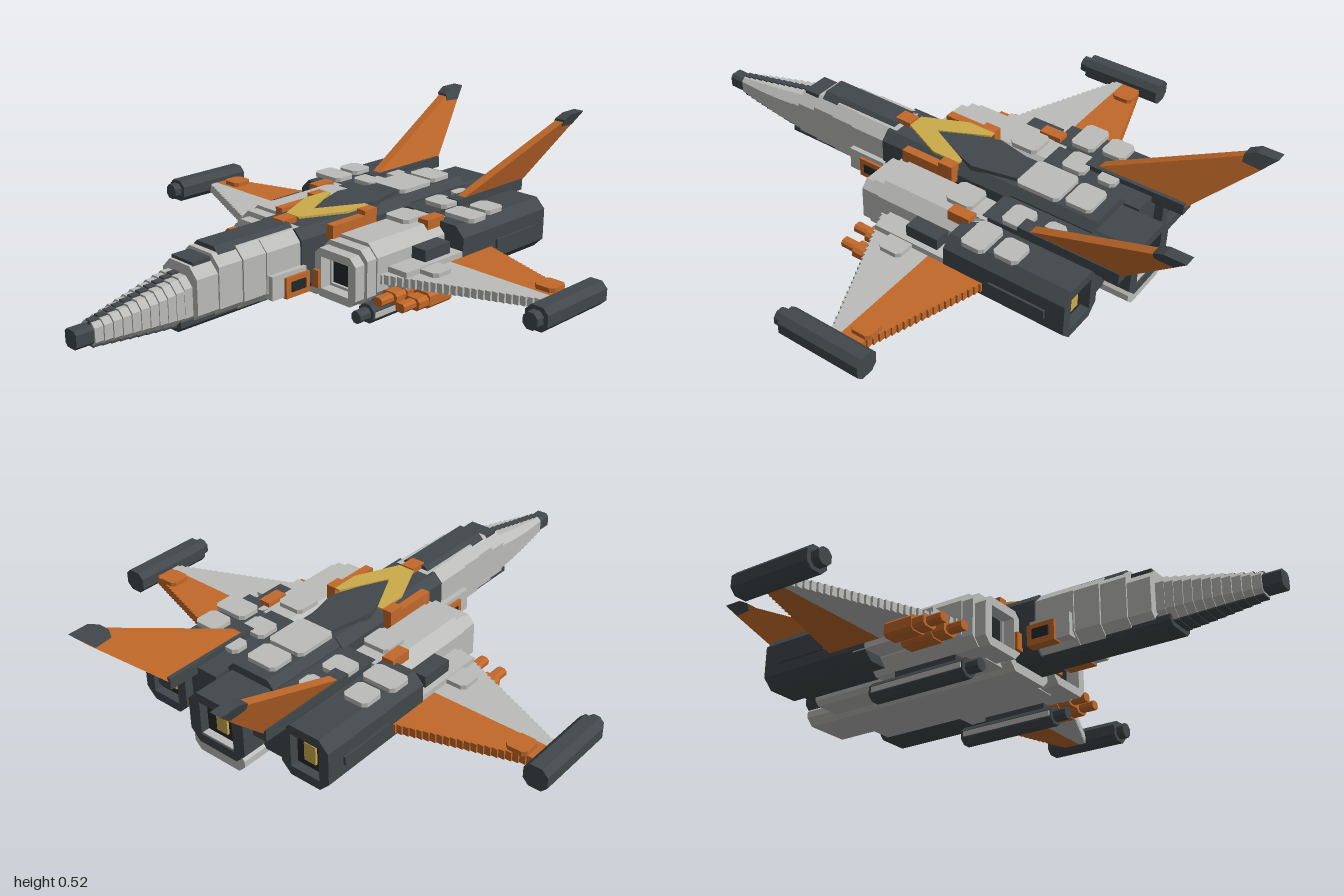
import * as THREE from 'three';
import { mergeGeometries } from 'three/addons/utils/BufferGeometryUtils.js';

const mat = (name, color) => {
  const m = new THREE.MeshStandardMaterial({ color });
  m.name = name;
  return m;
};
const lerp = THREE.MathUtils.lerp;

export function createModel() {
  const light = mat('light grey', 0xbcbcba), dark = mat('charcoal', 0x41474b), black = mat('black', 0x24272a);
  const orange = mat('orange', 0xc2692a), yellow = mat('yellow', 0xcbac4a);
  const model = new THREE.Group();
  model.name = 'starfighter';

  const add = (name, geo, m) => {
    const mesh = new THREE.Mesh(geo, m);
    mesh.name = name;
    model.add(mesh);
    return mesh;
  };
  // every box is given by its limits on x, y and z
  const box = (x0, x1, y0, y1, z0, z1) =>
    new THREE.BoxGeometry(Math.abs(x1 - x0), y1 - y0, z1 - z0).translate((x0 + x1) / 2, (y0 + y1) / 2, (z0 + z1) / 2);
  const octagon = (w, h, c) => new THREE.Shape([
    [-w + c, -h], [w - c, -h], [w, -h + c], [w, h - c], [w - c, h], [-w + c, h], [-w, h - c], [-w, -h + c],
  ].map(p => new THREE.Vector2(...p)));
  // chamfered bar along z, with an optional rectangular opening
  const bar = (x0, x1, y0, y1, z0, z1, c, hole) => {
    const w = Math.abs(x1 - x0) / 2, h = (y1 - y0) / 2, s = octagon(w, h, c);
    if (hole) {
      const [a, b] = hole;
      s.holes.push(new THREE.Path([[-a, -b], [-a, b], [a, b], [a, -b]].map(p => new THREE.Vector2(...p))));
    }
    return new THREE.ExtrudeGeometry(s, { depth: z1 - z0, bevelEnabled: false })
      .translate((x0 + x1) / 2, (y0 + y1) / 2, z0);
  };
  // thin plate with cut corners, lying flat
  const pad = (x, z, w, d, y0, y1) =>
    new THREE.ExtrudeGeometry(octagon(w / 2, d / 2, 0.013), { depth: y1 - y0, bevelEnabled: false })
      .rotateX(-Math.PI / 2).translate(x, y0, z);
  const poly = pts => new THREE.Shape(pts.map(p => new THREE.Vector2(...p)));

  // stepped nose with dark stripe and keel
  const shell = [], stripe = [], keel = [];
  const n = 11;
  for (let i = 0; i < n; i++) {
    const t = i / (n - 1), z0 = lerp(0.62, 0.94, i / n), z1 = lerp(0.62, 0.94, (i + 1) / n);
    const w = lerp(0.072, 0.032, t ** 1.4), top = lerp(0.262, 0.2, t), low = lerp(0.112, 0.13, t);
    shell.push(bar(-w, w, low, top, z0, z1, w * 0.4));
    stripe.push(box(-0.012, 0.012, top - 0.02, top + 0.005, z0, z1));
    keel.push(box(-w * 0.6, w * 0.6, low - 0.006, low + 0.01, z0, z1));
  }
  add('noseShell', mergeGeometries(shell), light);
  add('noseStripe', mergeGeometries(stripe), dark);
  add('noseKeel', mergeGeometries(keel), dark);
  add('noseTip', bar(-0.028, 0.028, 0.135, 0.192, 0.935, 1, 0.01), dark);

  // forward fuselage
  const fore = [];
  [[0.61, 0.53, 0.082, 0.29], [0.53, 0.44, 0.088, 0.31], [0.44, 0.35, 0.095, 0.312], [0.35, 0.18, 0.1, 0.312]]
    .forEach(([z1, z0, w, top]) => fore.push(bar(-w, w, 0.105, top, z0, z1, 0.035)));
  add('foreFuselage', mergeGeometries(fore), light);
  add('canopyFront', box(-0.05, 0.05, 0.26, 0.3, 0.51, 0.6), dark);
  add('canopy', bar(-0.06, 0.06, 0.24, 0.325, 0.2, 0.51, 0.02), dark);
  add('foreKeel', bar(-0.062, 0.062, 0.093, 0.14, 0.2, 0.66, 0.015), dark);

  // central spine and belly
  add('spine', bar(-0.105, 0.105, 0.1, 0.312, -0.3, 0.21, 0.03), dark);
  add('spineRidge', new THREE.ExtrudeGeometry(
    poly([[-0.05, 0.3], [0.05, 0.3], [0.085, 0.14], [0.02, -0.05], [-0.02, -0.05], [-0.085, 0.14]]),
    { depth: 0.018, bevelEnabled: false }).rotateX(-Math.PI / 2).translate(0, 0.307, 0), dark);
  add('chevron', new THREE.ExtrudeGeometry(
    poly([[-0.1, 0.1], [-0.1, 0], [-0.03, -0.15], [0.03, -0.15], [0.1, 0], [0.1, 0.1], [0.08, 0.1], [0, -0.06], [-0.08, 0.1]]),
    { depth: 0.007, bevelEnabled: false }).rotateX(-Math.PI / 2).translate(0, 0.322, 0), yellow);
  add('bellyCentre', bar(-0.105, 0.105, 0.068, 0.14, -0.745, 0.12, 0.025), light);
  add('bellyWide', bar(-0.2, 0.2, 0.082, 0.13, -0.62, 0.08, 0.015), light);
  add('spineMarkerFront', box(-0.025, 0.025, 0.3, 0.33, 0.155, 0.215), orange);
  add('spineMarkerRear', box(-0.04, 0.04, 0.3, 0.322, -0.3, -0.19), orange);

  // central engine with square nozzle, reused for the outer engines
  const engine = (name, x0, x1, y0, y1, z0, z1) => {
    const cx = (x0 + x1) / 2, cy = (y0 + y1) / 2, w = Math.abs(x1 - x0) / 2, h = (y1 - y0) / 2;
    add(name + 'Body', bar(x0, x1, y0, y1, z0 + 0.05, z1, 0.035), dark);
    add(name + 'Rim', bar(x0, x1, y0, y1, z0, z0 + 0.05, 0.035, [w * 0.6, h * 0.65]), dark);
    add(name + 'Throat', box(cx - w * 0.6, cx + w * 0.6, cy - h * 0.65, cy + h * 0.65, z0 + 0.03, z0 + 0.052), black);
    add(name + 'Glow', box(cx - 0.022, cx + 0.022, cy - 0.032, cy + 0.032, z0 + 0.022, z0 + 0.031), yellow);
  };
  engine('centreEngine', -0.112, 0.112, 0.105, 0.285, -0.75, -0.3);
  add('centreEngineTop', bar(-0.095, 0.095, 0.24, 0.312, -0.6, -0.28, 0.025), dark);
  add('centrePadFront', pad(0, -0.375, 0.14, 0.155, 0.31, 0.326), light);
  add('centrePadRear', pad(0, -0.515, 0.115, 0.095, 0.31, 0.326), light);

  for (const s of [1, -1]) {
    const side = s > 0 ? 'left' : 'right';
    const b = (name, x0, x1, y0, y1, z0, z1, m) => add(side + name, box(s * x0, s * x1, y0, y1, z0, z1), m);
    const o = (name, x0, x1, y0, y1, z0, z1, c, m) => add(side + name, bar(s * x0, s * x1, y0, y1, z0, z1, c), m);
    const p = (name, x, z, w, d, y, m = light) => add(side + name, pad(s * x, z, w, d, y, y + 0.016), m);

    // air intake and hull side
    add(side + 'IntakeFrame', bar(s * 0.1, s * 0.285, 0.085, 0.25, 0.11, 0.15, 0.025, [0.06, 0.054]), light);
    add(side + 'IntakeCollar', bar(s * 0.1, s * 0.297, 0.085, 0.268, 0.07, 0.11, 0.03, [0.06, 0.054]), light);
    b('IntakeThroat', 0.13, 0.255, 0.105, 0.225, 0.06, 0.1, black);
    o('Hull', 0.1, 0.302, 0.085, 0.28, -0.3, 0.07, 0.04, light);
    b('HullShoulder', 0.28, 0.38, 0.13, 0.2, -0.3, 0.02, light);
    b('ShoulderBox', 0.285, 0.36, 0.17, 0.24, -0.21, -0.09, dark);

    // outer engine
    engine(side + 'Engine', s * 0.2, s * 0.382, 0.1, 0.28, -0.685, -0.25);
    b('EngineBridge', 0.09, 0.22, 0.11, 0.282, -0.655, -0.28, dark);
    b('EngineRib', 0.376, 0.39, 0.17, 0.2, -0.62, -0.42, dark);

    // armour pads
    p('EnginePadRear', 0.31, -0.45, 0.09, 0.085, 0.279);
    p('EnginePadFront', 0.31, -0.343, 0.125, 0.085, 0.279);
    p('BridgePadFront', 0.17, -0.385, 0.095, 0.085, 0.281);
    p('BridgePadRear', 0.155, -0.505, 0.055, 0.065, 0.281);
    p('HullPad', 0.18, -0.19, 0.1, 0.1, 0.279);
    p('WingPad', 0.405, -0.085, 0.085, 0.085, 0.18);
    p('WingtipPad', 0.735, -0.24, 0.075, 0.075, 0.18, orange);
    b('HullMarker', 0.238, 0.28, 0.26, 0.296, -0.27, -0.19, orange);
    b('SpineRail', 0.105, 0.136, 0.26, 0.312, -0.1, 0.1, orange);
    b('SpineRailCap', 0.1, 0.136, 0.3, 0.328, -0.1, -0.045, orange);

    // side vent ahead of the intake
    b('VentFairing', 0.085, 0.118, 0.12, 0.2, 0.2, 0.345, light);
    add(side + 'Vent', box(s * 0.09, s * 0.128, 0.115, 0.185, 0.195, 0.295), orange);
    b('VentOpening', 0.12, 0.132, 0.135, 0.168, 0.215, 0.275, black);
    b('IntakeClip', 0.1, 0.13, 0.115, 0.175, 0.13, 0.162, orange);

    // stepped wing: light leading part, orange trailing part
    const lead = [], trail = [], steps = 26;
    for (let i = 0; i < steps; i++) {
      const x0 = lerp(0.29, 0.81, i / steps), x1 = lerp(0.29, 0.81, (i + 1) / steps), t = (i + 0.5) / steps;
      lead.push(box(s * x0, s * x1, 0.15, 0.181, -0.19, lerp(0.06, -0.165, t)));
      trail.push(box(s * x0, s * x1, 0.15, 0.181, lerp(-0.425, -0.255, t), -0.19));
    }
    add(side + 'WingLeading', mergeGeometries(lead), light);
    add(side + 'WingTrailing', mergeGeometries(trail), orange);

    // wingtip pod
    o('WingtipPod', 0.8, 0.882, 0.138, 0.216, -0.328, -0.03, 0.02, dark);
    o('WingtipPodFront', 0.815, 0.867, 0.15, 0.204, -0.03, 0.0, 0.015, dark);

    // guns under the wing
    for (const [x, z] of [[0.352, 0.12], [0.432, 0.105]]) {
      o('GunBody', x - 0.033, x + 0.033, 0.098, 0.15, -0.1, z - 0.1, 0.01, orange);
      o('GunSleeve', x - 0.03, x + 0.03, 0.102, 0.142, z - 0.1, z - 0.055, 0.01, orange);
      o('GunBarrel', x - 0.018, x + 0.018, 0.108, 0.138, z - 0.055, z, 0.008, orange);
    }

    // missile slung under the hull
    b('MissilePylon', 0.232, 0.262, 0.05, 0.1, -0.22, 0.02, dark);
    o('Missile', 0.214, 0.28, 0.003, 0.066, -0.312, 0.06, 0.018, dark);
    o('MissileNose', 0.227, 0.267, 0.014, 0.055, 0.06, 0.108, 0.012, dark);
    b('MissileStripe', 0.279, 0.284, 0.026, 0.044, -0.3, 0.055, light);
    b('MissileStripeInner', 0.21, 0.215, 0.026, 0.044, -0.3, 0.055, light);

    // canted tail fin: side outline sheared outwards with height
    const fin = (name, pts, thick, m) => {
      const g = new THREE.ExtrudeGeometry(poly(pts), { depth: thick, bevelEnabled: false })
        .translate(0, 0, -thick / 2).rotateY(Math.PI / 2);
      const v = g.attributes.position;
      for (let i = 0; i < v.count; i++) v.setX(i, v.getX(i) + s * (0.197 + (v.getY(i) - 0.29) * 0.37));
      g.computeVertexNormals();
      add(side + name, g, m);
    };
    fin('Fin', [[0.42, 0.285], [0.76, 0.28], [0.97, 0.49], [0.94, 0.505], [0.9, 0.5], [0.48, 0.312]], 0.034, orange);
    fin('FinTip', [[0.895, 0.482], [0.955, 0.478], [1.0, 0.523], [0.93, 0.523], [0.895, 0.506]], 0.04, dark);
    b('FinBase', 0.17, 0.222, 0.26, 0.3, -0.765, -0.41, dark);
  }
  return model;
}
